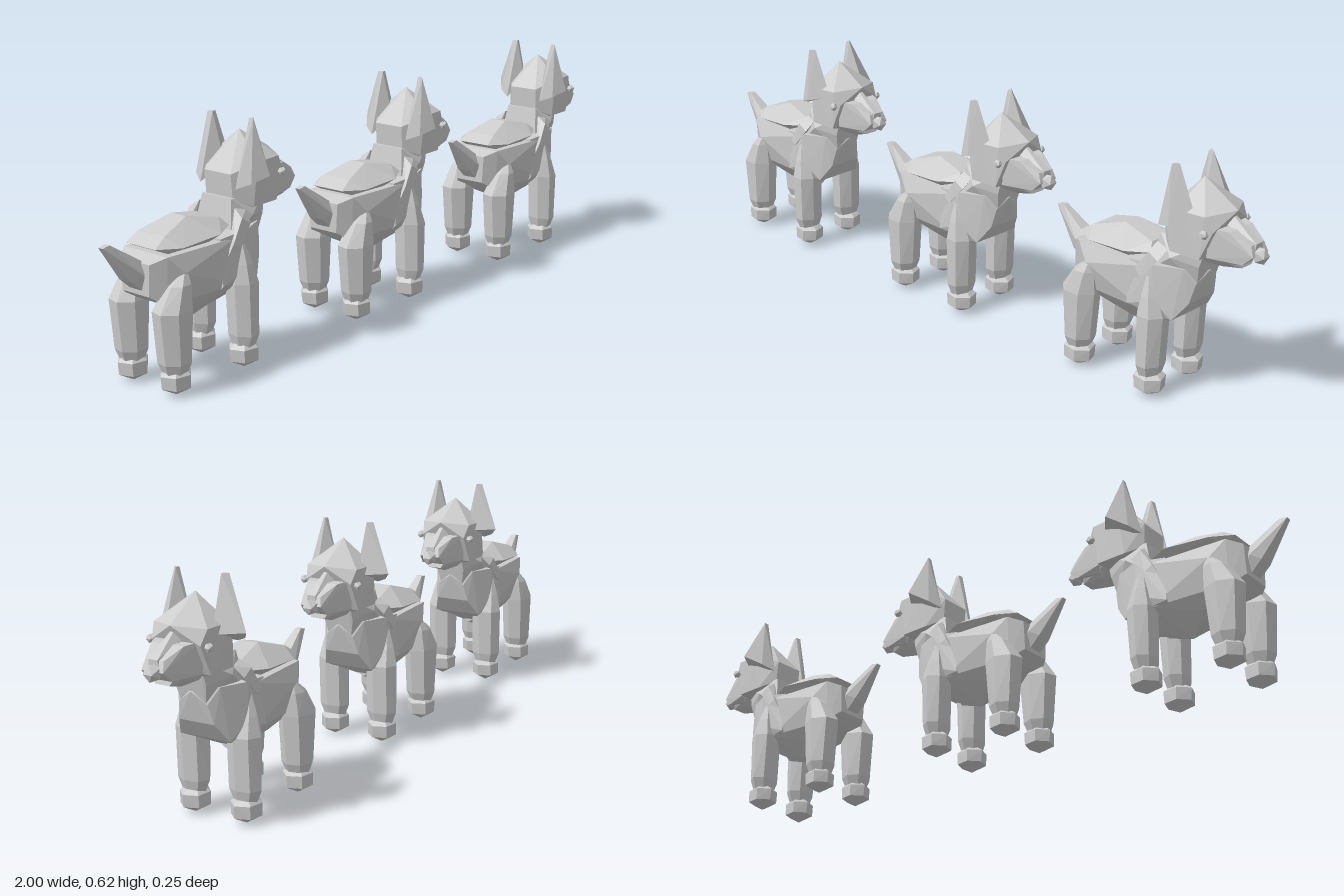
import * as THREE from 'three';
import { ConvexGeometry } from 'three/addons/geometries/ConvexGeometry.js';

const material = new THREE.MeshStandardMaterial({ color: 0xcccccc, flatShading: true });

// Faceted solid around a few corner points
function hull(name, points) {
  const geometry = new ConvexGeometry(points.map(([x, y, z]) => new THREE.Vector3(x, y, z)));
  const mesh = new THREE.Mesh(geometry, material);
  mesh.name = name;
  return mesh;
}

// Same, with every corner repeated on the other side of the body
function symmetric(name, points) {
  const all = [];
  for (const [x, y, z] of points) {
    all.push([x, y, z]);
    if (z !== 0) all.push([x, y, -z]);
  }
  return hull(name, all);
}

// Faceted limb from horizontal rings: [x, y, z, radiusX, radiusZ]
function limb(name, rings, sides = 7) {
  const points = [];
  rings.forEach(([x, y, z, rx, rz]) => {
    for (let i = 0; i < sides; i++) {
      const a = (i / sides) * Math.PI * 2 + 0.2;
      points.push([x + Math.cos(a) * rx, y, z + Math.sin(a) * rz]);
    }
  });
  return hull(name, points);
}

function ball(name, radius, x, y, z) {
  const mesh = new THREE.Mesh(new THREE.IcosahedronGeometry(radius, 0), material);
  mesh.position.set(x, y, z);
  mesh.name = name;
  return mesh;
}

function createDog() {
  const dog = new THREE.Group();
  dog.name = 'dog';

  // Trunk
  dog.add(symmetric('barrel', [
    [-0.225, 0.25, 0.045], [-0.225, 0.33, 0.05], [-0.19, 0.225, 0.07], [-0.19, 0.345, 0.075],
    [-0.15, 0.3, 0.093], [-0.04, 0.148, 0], [-0.1, 0.19, 0.045], [0.03, 0.225, 0.08],
    [0.03, 0.345, 0.085], [0.03, 0.17, 0],
  ]));
  dog.add(symmetric('chest', [
    [-0.02, 0.23, 0.085], [-0.02, 0.35, 0.08], [-0.02, 0.155, 0], [0.06, 0.36, 0.092],
    [0.07, 0.265, 0.092], [0.112, 0.222, 0.072], [0.155, 0.32, 0.04], [0.145, 0.27, 0.05],
    [0.13, 0.36, 0.06], [0.165, 0.35, 0],
  ]));
  dog.add(symmetric('backFur', [
    [-0.205, 0.362, 0.05], [-0.17, 0.385, 0.045], [-0.08, 0.412, 0.025], [0.016, 0.392, 0.04],
    [0.03, 0.372, 0.06], [-0.15, 0.36, 0.085], [-0.03, 0.368, 0.092], [-0.04, 0.345, 0.06],
    [-0.17, 0.345, 0.055],
  ]));
  dog.add(symmetric('neck', [
    [0.03, 0.33, 0.065], [0.155, 0.32, 0.035], [0.05, 0.43, 0.05], [0.18, 0.43, 0.04],
    [0.1, 0.385, 0.075], [0.165, 0.37, 0.045],
  ]));

  // Tail
  dog.add(symmetric('tail', [
    [-0.326, 0.386, 0.008], [-0.305, 0.39, 0.008], [-0.255, 0.29, 0.022], [-0.215, 0.325, 0.022],
    [-0.185, 0.225, 0.02], [-0.17, 0.3, 0.025], [-0.23, 0.305, 0.034],
  ]));

  // Head
  dog.add(symmetric('skull', [
    [0.134, 0.585, 0], [0.055, 0.49, 0.045], [0.115, 0.515, 0.08], [0.195, 0.517, 0.075],
    [0.235, 0.525, 0], [0.06, 0.425, 0.045], [0.1, 0.405, 0.078], [0.185, 0.405, 0.075],
    [0.215, 0.48, 0.068], [0.15, 0.38, 0],
  ]));
  dog.add(symmetric('muzzle', [
    [0.2, 0.488, 0.06], [0.245, 0.485, 0.045], [0.195, 0.41, 0.06], [0.295, 0.46, 0.025],
    [0.305, 0.435, 0.03], [0.28, 0.41, 0.035], [0.2, 0.395, 0.045],
  ]));
  dog.add(symmetric('lowerJaw', [
    [0.17, 0.41, 0.055], [0.17, 0.385, 0.03], [0.2, 0.372, 0], [0.27, 0.395, 0.02], [0.265, 0.412, 0.03],
  ]));
  dog.add(symmetric('noseBridge', [
    [0.22, 0.515, 0.004], [0.22, 0.49, 0.02], [0.3, 0.462, 0.012], [0.3, 0.435, 0.015],
  ]));
  dog.add(ball('nose', 0.023, 0.304, 0.432, 0));

  for (const s of [1, -1]) {
    const side = s > 0 ? 'left' : 'right';
    // Ears, the right one splayed a little sideways
    const splay = s > 0 ? 0 : -0.014;
    const tilt = s > 0 ? 0 : 0.012;
    dog.add(hull(side + 'Ear', [
      [0.098, 0.627, s * 0.083], [0.112, 0.627, s * 0.07], [0.1, 0.627, s * 0.068],
      [0.12, 0.485 + tilt, s * 0.115], [0.165, 0.495, s * 0.065], [0.055, 0.455, s * 0.06],
      [0.075, 0.47, s * 0.095], [0.11, 0.5, s * 0.03],
    ].map(([x, y, z], i) => [x, y, z + (i === 3 ? splay : i < 3 && s < 0 ? 0.012 : 0)])));
    dog.add(ball(side + 'Eye', 0.012, 0.2, 0.476, s * 0.082));

    // Shoulder tuft slanting down from the neck
    dog.add(hull(side + 'ShoulderTuft', [
      [0.05, 0.41, s * 0.06], [0.085, 0.4, s * 0.065], [0.045, 0.39, s * 0.09], [0.075, 0.372, s * 0.09],
      [0.01, 0.335, s * 0.095], [0.03, 0.32, s * 0.098], [-0.005, 0.305, s * 0.09], [0.03, 0.33, s * 0.07],
    ]));

    // Legs
    const z = s * 0.075;
    dog.add(limb(side + 'FrontLeg', [
      [0.056, 0.055, z, 0.025, 0.03], [0.056, 0.09, z, 0.034, 0.044], [0.056, 0.225, z, 0.04, 0.045],
      [0.052, 0.275, s * 0.08, 0.025, 0.028], [0.048, 0.325, s * 0.08, 0.01, 0.012],
    ]));
    dog.add(limb(side + 'HindLeg', [
      [-0.178, 0.055, z, 0.03, 0.03], [-0.178, 0.085, z, 0.042, 0.042], [-0.178, 0.215, z, 0.054, 0.046],
      [-0.16, 0.275, s * 0.078, 0.032, 0.03], [-0.148, 0.3, s * 0.078, 0.014, 0.015],
    ]));

    // Paws
    for (const [part, x] of [['FrontPaw', 0.056], ['HindPaw', -0.177]]) {
      dog.add(limb(side + part, [
        [x, 0.002, z, 0.003, 0.003], [x, 0.022, z, 0.04, 0.039],
        [x, 0.055, z, 0.043, 0.039], [x, 0.066, z, 0.028, 0.028],
      ], 6));
    }
  }
  return dog;
}

export function createModel() {
  const model = new THREE.Group();
  model.name = 'dogs';
  // Three dogs in single file
  for (const x of [-0.673, 0, 0.673]) {
    const dog = createDog();
    dog.position.set(x, 0, 0.0075);
    model.add(dog);
  }
  return model;
}
